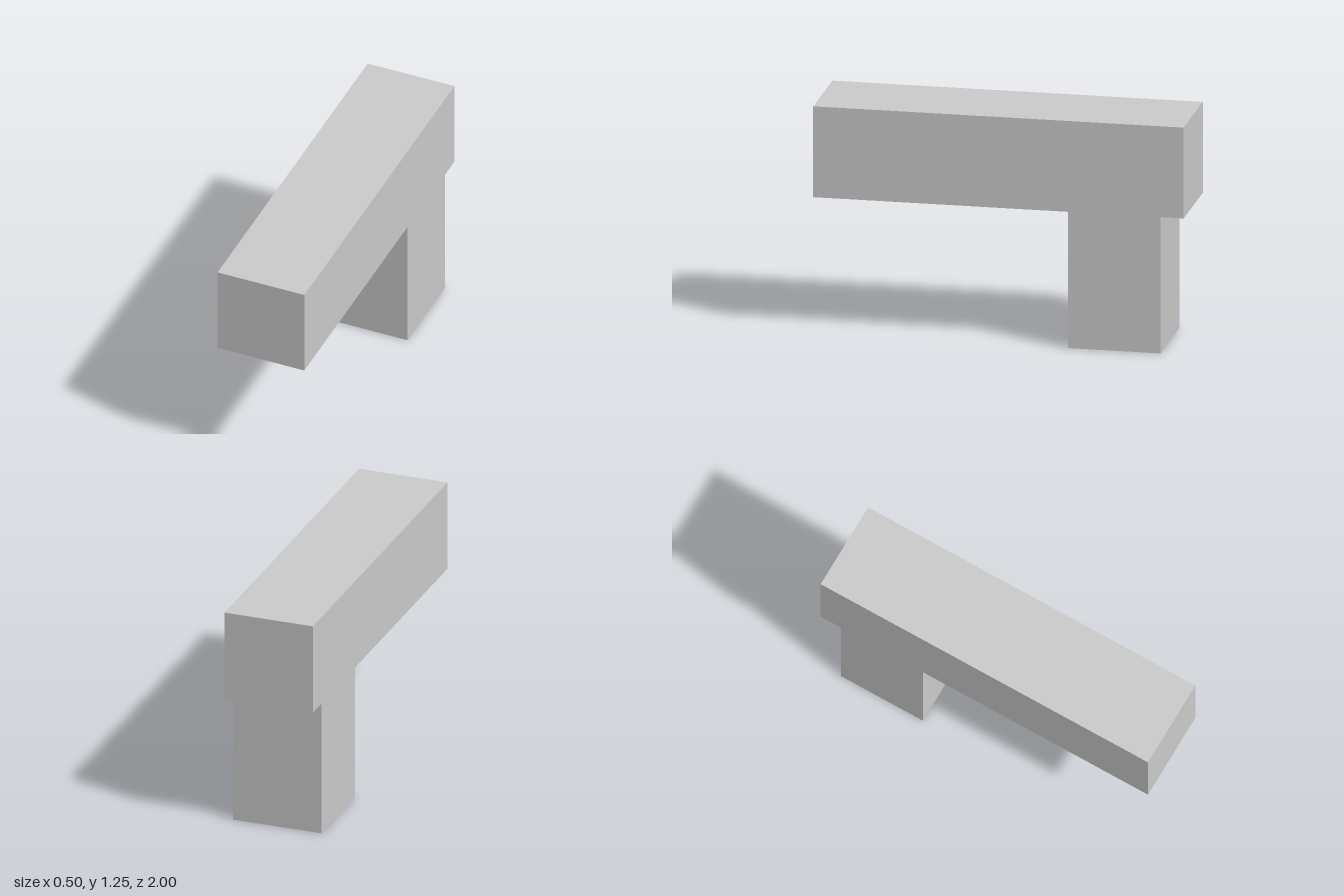
import * as THREE from 'three';

const WIDTH = 0.5;
const TOP = 1.25;
const UNDERSIDE = 0.75;
const LEG_FRONT = -0.375;
const LEG_BACK = -0.875;

export function createModel() {
  const group = new THREE.Group();
  group.name = 'beamOnLeg';

  // Side outline as (z, y): a long bar with one leg near the back
  const outline = new THREE.Shape([
    [-1, TOP], [-1, UNDERSIDE],
    [LEG_BACK, UNDERSIDE], [LEG_BACK, 0],
    [LEG_FRONT, 0], [LEG_FRONT, UNDERSIDE],
    [1, UNDERSIDE], [1, TOP],
  ].map(([z, y]) => new THREE.Vector2(z, y)));

  // Extruded across the width, then turned so the bar runs along z
  const geometry = new THREE.ExtrudeGeometry(outline, { depth: WIDTH, bevelEnabled: false });
  geometry.translate(0, 0, -WIDTH / 2);
  geometry.rotateY(-Math.PI / 2);

  const material = new THREE.MeshStandardMaterial({ color: 0xcccccc, flatShading: true });
  const body = new THREE.Mesh(geometry, material);
  body.name = 'barWithLeg';
  group.add(body);

  return group;
}
